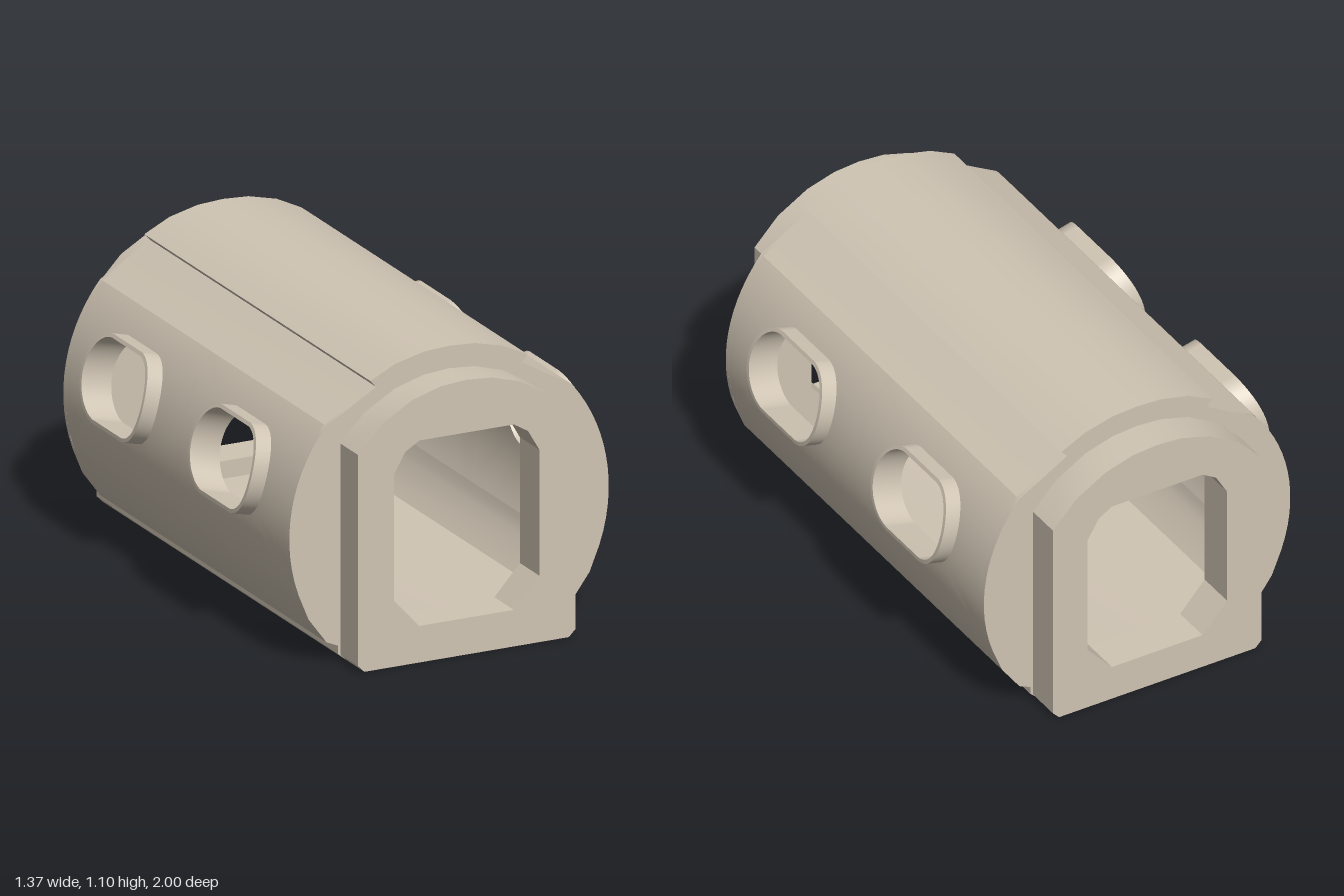
import * as THREE from 'three';
import { toCreasedNormals } from 'three/addons/utils/BufferGeometryUtils.js';

const AXIS_Y = 0.48, TILT = 0.25;          // hull axis height, upward tilt of the windows
const R_OUT = 0.625, R_IN = 0.565, R_RIM = 0.685;
const BODY = 0.85, PLATE = 0.865;          // half lengths of shell and shell plus end plate
const WIN_Z = 0.415;                       // window centre along the hull
const V_LOW = -0.35, V_HIGH = 0.268;       // side panel limits across the window axis
const N = 56;

// Point on a cylinder of radius r, at offset v across the tilted window axis
function onHull(r, v, z) {
  const a = Math.sqrt(r * r - v * v), c = Math.cos(TILT), s = Math.sin(TILT);
  return [c * a - s * v, AXIS_Y + s * a + c * v, z];
}

const hullXY = (r, v) => onHull(r, v, 0).slice(0, 2);

// Rounded window outline as [z, v] pairs, inset by d
function windowLoop(d) {
  return Array.from({ length: N }, (_, i) => {
    const t = (i + 0.5) / N * Math.PI * 2, c = Math.cos(t);
    return [WIN_Z + Math.sign(c) * 0.1 + (0.135 - d) * c, (0.165 - d) * Math.sin(t)];
  });
}

// Rectangle around a window, matched point for point with its outline
function panelLoop() {
  const loop = windowLoop(0).map(([z, v]) => {
    const dz = z - WIN_Z;
    const k = Math.min((dz > 0 ? BODY - WIN_Z : WIN_Z) / Math.abs(dz), (v > 0 ? V_HIGH : -V_LOW) / Math.abs(v));
    return [WIN_Z + dz * k, v * k];
  });
  for (const z of [0, BODY]) for (const v of [V_LOW, V_HIGH]) {
    let best = 0;
    const dist = (p) => Math.hypot(p[0] - z, p[1] - v);
    loop.forEach((p, i) => { if (dist(p) < dist(loop[best])) best = i; });
    loop[best] = [z, v];
  }
  return loop;
}

// Surface blending from one closed loop to another
function ringSurface(loopA, rA, loopB, rB, steps, flip = false) {
  const pos = [], idx = [];
  for (let k = 0; k <= steps; k++) {
    const t = k / steps;
    for (let i = 0; i < N; i++) {
      const z = THREE.MathUtils.lerp(loopA[i][0], loopB[i][0], t);
      const v = THREE.MathUtils.lerp(loopA[i][1], loopB[i][1], t);
      pos.push(...onHull(THREE.MathUtils.lerp(rA, rB, t), v, z));
    }
  }
  for (let k = 0; k < steps; k++) for (let i = 0; i < N; i++) {
    const j = (i + 1) % N, a = k * N + i, b = k * N + j, c = a + N, d = b + N;
    if (flip) idx.push(a, c, b, b, c, d);
    else idx.push(a, b, c, b, d, c);
  }
  const g = new THREE.BufferGeometry();
  g.setAttribute('position', new THREE.Float32BufferAttribute(pos, 3));
  g.setIndex(idx);
  g.computeVertexNormals();
  return g;
}

// Right half profile plus its mirror image, as one closed outline
function mirrored(half) {
  const left = half.filter(([x]) => x > 0).map(([x, y]) => [-x, y]).reverse();
  return [...half, ...left].map(([x, y]) => new THREE.Vector2(x, y));
}

function extrude(outline, z0, z1, hole) {
  const shape = new THREE.Shape(outline);
  if (hole) shape.holes.push(new THREE.Path(hole));
  const g = new THREE.ExtrudeGeometry(shape, { depth: z1 - z0, bevelEnabled: false });
  g.translate(0, 0, z0);
  return toCreasedNormals(g, 0.5);
}

export function createModel() {
  const model = new THREE.Group();
  model.name = 'hullModule';
  const hullMaterial = new THREE.MeshStandardMaterial({ color: 0xd0c5b4, side: THREE.DoubleSide });
  hullMaterial.name = 'warm beige';
  const add = (name, geometry, sx = 1, sz = 1) => {
    const m = new THREE.Mesh(geometry, hullMaterial);
    m.name = name;
    m.scale.set(sx, 1, sz);
    model.add(m);
  };

  // Outer profile, bottom to top, joined by the round side
  const low = [[0.4, 0], [0.435, 0.03], [0.435, 0.06], [0.48, 0.08], [0.55, 0.175], hullXY(R_OUT, V_LOW)];
  const high = [hullXY(R_OUT, V_HIGH), [0.39, 0.93], [0.285, 0.992], [0.308, 1.017],
    [0.21, 1.065], [0.1, 1.092], [0, 1.098]];
  const side = [];
  for (let i = 1; i < 14; i++) side.push(hullXY(R_OUT, THREE.MathUtils.lerp(V_LOW, V_HIGH, i / 14)));

  // Roof and floor shells
  const innerHigh = [[0, 1.015], [0.2, 0.98], [0.34, 0.9], hullXY(R_IN, V_HIGH)];
  const innerLow = [hullXY(R_IN, V_LOW), [0.5, 0.19], [0.42, 0.09], [0.3, 0.07]];
  const flipX = (pts) => pts.map(([x, y]) => [-x, y]).reverse();
  const band = (outer, inner) => [...outer, ...inner].map(([x, y]) => new THREE.Vector2(x, y));
  add('roofShell', extrude(band([...high, ...flipX(high).slice(1)],
    [...flipX(innerHigh), ...innerHigh.slice(1)]), -BODY, BODY));
  add('floorShell', extrude(band([...flipX(low), ...low],
    [...innerLow, ...flipX(innerLow)]), -BODY, BODY));

  // Side panels with windows and raised window rims
  const frame = panelLoop(), outerEdge = windowLoop(0), innerEdge = windowLoop(0.014);
  const parts = {
    sidePanel: ringSurface(outerEdge, R_OUT, frame, R_OUT, 10, true),
    sideLining: ringSurface(innerEdge, R_IN, frame, R_IN, 10),
    windowRimOutside: ringSurface(outerEdge, R_OUT, outerEdge, R_RIM, 1, true),
    windowRimEdge: ringSurface(innerEdge, R_RIM, outerEdge, R_RIM, 1, true),
    windowRimInside: ringSurface(innerEdge, R_IN, innerEdge, R_RIM, 1),
  };
  for (const sx of [1, -1]) for (const sz of [1, -1])
    for (const [name, geometry] of Object.entries(parts)) add(name, geometry, sx, sz);

  // End plates and collars around the doorway
  const doorway = mirrored([[0.185, 0.135], [0.285, 0.245], [0.285, 0.71], [0.24, 0.787], [0.185, 0.82]]);
  const plate = extrude(mirrored([...low, ...side, ...high]), BODY, PLATE, doorway);
  const collar = extrude(mirrored([[0.4, 0], [0.425, 0.025], [0.425, 0.805], [0.33, 0.905],
    [0.21, 0.975], [0.1, 1.007], [0, 1.015]]), PLATE, 1, doorway);
  for (const sz of [1, -1]) {
    add('endPlate', plate, 1, sz);
    add('endCollar', collar, 1, sz);
  }
  return model;
}
